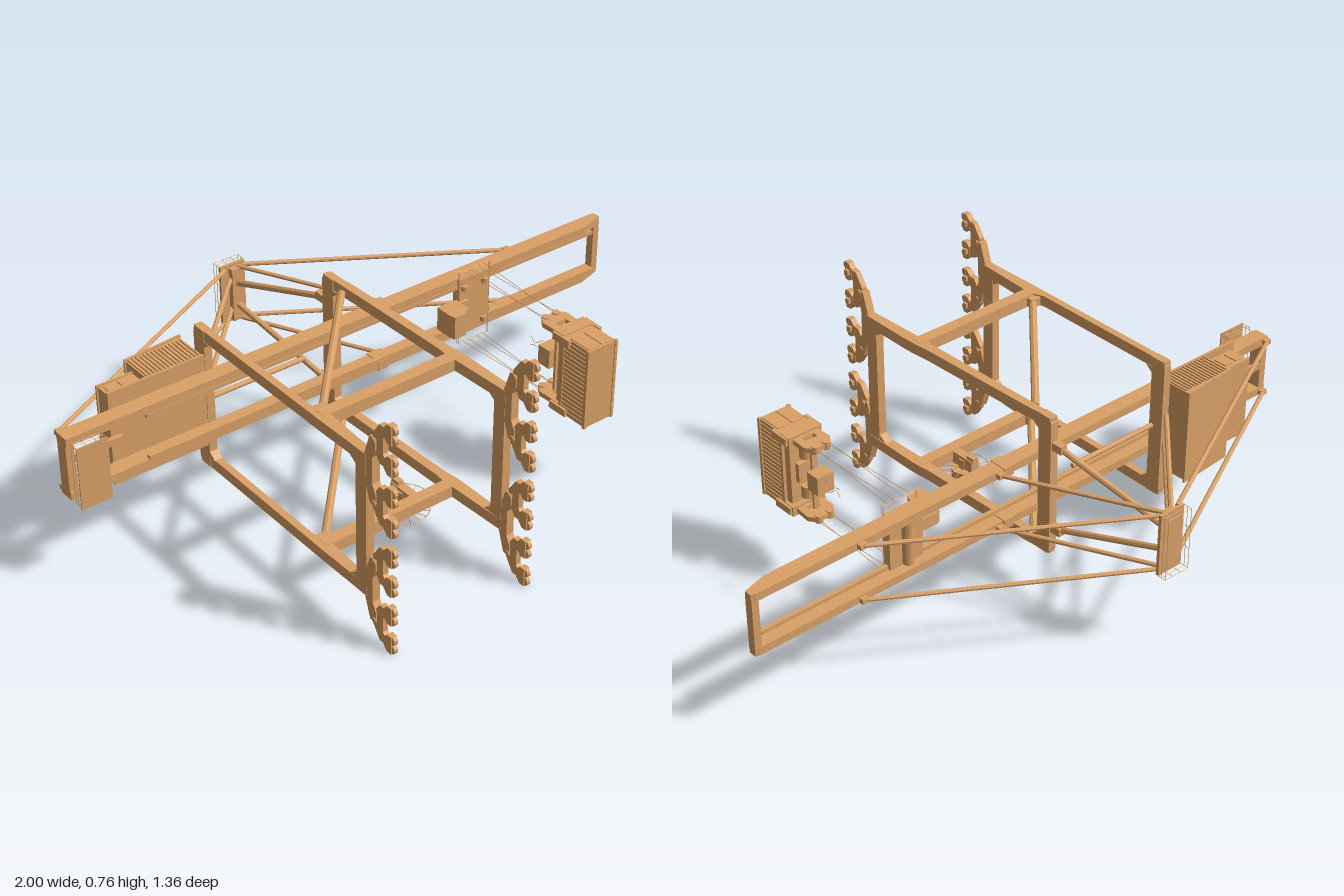
import * as THREE from 'three';

// Gantry crane lying on its back: boom along x, crane height along -z, width along y.
const MID = 0.383;
const paint = new THREE.MeshStandardMaterial({ color: 0xd9a066, side: THREE.DoubleSide, flatShading: true });

export function createModel() {
  const root = new THREE.Group();
  root.name = 'gantryCrane';

  const add = (name, geo, parent = root) => {
    const m = new THREE.Mesh(geo, paint);
    m.name = name;
    parent.add(m);
    return m;
  };
  const group = (name) => {
    const g = new THREE.Group();
    g.name = name;
    root.add(g);
    return g;
  };
  const box = (name, x0, x1, y0, y1, z0, z1, parent) => {
    const m = add(name, new THREE.BoxGeometry(x1 - x0, y1 - y0, z1 - z0), parent);
    m.position.set((x0 + x1) / 2, (y0 + y1) / 2, (z0 + z1) / 2);
    return m;
  };
  // Round or square bar between two points
  const bar = (name, a, b, r, parent, sides = 8) => {
    const p = new THREE.Vector3(...a), q = new THREE.Vector3(...b);
    const m = add(name, new THREE.CylinderGeometry(r, r, p.distanceTo(q), sides), parent);
    m.position.copy(p).add(q).multiplyScalar(0.5);
    m.quaternion.setFromUnitVectors(new THREE.Vector3(0, 1, 0), q.sub(p).normalize());
    return m;
  };
  // Plate with an outline in x,z and a thickness in y
  const plateXZ = (name, pts, y0, y1, parent, hole) => {
    const s = new THREE.Shape(pts.map(([x, z]) => new THREE.Vector2(x, z)));
    if (hole) s.holes.push(new THREE.Path(hole.map(([x, z]) => new THREE.Vector2(x, z))));
    const g = new THREE.ExtrudeGeometry(s, { depth: y1 - y0, bevelEnabled: false });
    g.rotateX(Math.PI / 2).translate(0, y1, 0);
    return add(name, g, parent);
  };
  // Plate with an outline in y,z and a thickness in x
  const plateYZ = (name, pts, x0, x1, parent) => {
    const s = new THREE.Shape(pts.map(([y, z]) => new THREE.Vector2(y, z)));
    const g = new THREE.ExtrudeGeometry(s, { depth: x1 - x0, bevelEnabled: false });
    g.applyMatrix4(new THREE.Matrix4().set(0, 0, 1, x0, 1, 0, 0, 0, 0, 1, 0, 0, 0, 0, 0, 1));
    return add(name, g, parent);
  };
  const both = (fn) => [1, -1].forEach(fn); // mirrored about the middle of the width

  // Portal frames: legs, sill, top beam and corner gussets
  const portals = [
    { name: 'landPortal', legs: [[-0.505, -0.482, -0.24], [-0.505, -0.482, 0.29], [-0.505, -0.462, 0.33],
      [-0.505, -0.465, 0.37], [-0.502, -0.475, 0.565]], cx: -0.489, top: [-0.507, -0.48] },
    { name: 'seaPortal', legs: [[-0.048, -0.027, -0.24], [-0.045, -0.018, -0.14], [-0.034, -0.002, 0.29],
      [-0.038, 0.003, 0.33], [-0.034, 0.005, 0.37], [-0.025, 0.005, 0.565]], cx: -0.011, top: [-0.05, -0.022] },
  ];
  for (const { name, legs, cx, top } of portals) {
    const g = group(name);
    both((s) => {
      const outline = [...legs.map(([a, , z]) => [a, z]), ...legs.map(([, b, z]) => [b, z]).reverse()];
      const yc = MID + s * 0.22;
      plateXZ('leg', outline, yc - 0.018, yc + 0.018, g);
      const y = MID + s * 0.203;
      plateYZ('lowerGusset', [[y, 0.49], [y - s * 0.02, 0.52], [y, 0.52]], cx - 0.013, cx + 0.013, g);
      plateYZ('upperGusset', [[y, -0.165], [y - s * 0.02, -0.19], [y, -0.19]], top[0], top[1], g);
      const o = MID + s * 0.238;
      plateYZ('topCorner', [[o, -0.19], [y, -0.19], [y, -0.242], [o - s * 0.016, -0.242], [o, -0.235]], top[0], top[1], g);
    });
    box('sillBeam', cx - 0.014, cx + 0.014, 0.145, 0.621, 0.52, 0.565, g);
    box('topBeam', top[0], top[1], 0.18, 0.586, -0.242, -0.19, g);

    // Travelling gear: equalisers branching to wheel trucks
    both((s) => {
      const y = MID + s * 0.2;
      const hanger = (c, w, z0, z1, t) => plateYZ('equaliser', [[c - w * 0.3, z0], [c + w * 0.3, z0], [c + w, (z0 + z1) / 2],
        [c + w, z1], [c + w * 0.65, z1], [c + w * 0.4, z1 - 0.014], [c - w * 0.4, z1 - 0.014], [c - w * 0.65, z1],
        [c - w, z1], [c - w, (z0 + z1) / 2]], cx - t, cx + t, g);
      hanger(y, 0.108, 0.555, 0.605, 0.013);
      both((k) => {
        const ys = y + k * 0.1;
        hanger(ys, 0.062, 0.588, 0.646, 0.009);
        bar('equaliserPin', [cx - 0.016, ys, 0.598], [cx + 0.016, ys, 0.598], 0.008, g);
        both((j) => {
          const yt = ys + j * 0.05;
          plateYZ('wheelTruck', [[yt - 0.014, 0.636], [yt + 0.014, 0.636], [yt + 0.03, 0.65], [yt + 0.03, 0.668],
            [yt - 0.03, 0.668], [yt - 0.03, 0.65]], cx - 0.01, cx + 0.01, g);
          both((w) => bar('wheel', [cx - 0.006, yt + w * 0.015, 0.665], [cx + 0.006, yt + w * 0.015, 0.665], 0.015, g, 14));
          box('wheelMotor', cx + 0.01, cx + 0.019, yt - 0.008, yt + 0.008, 0.645, 0.661, g);
        });
      });
    });
  }

  // Side beams and diagonal braces joining the portals
  both((s) => {
    const y = MID + s * 0.22;
    box('sideBeam', -0.485, -0.01, y - 0.019, y + 0.019, 0.32, 0.36);
    bar('diagonalBrace', [-0.055, y, -0.14], [-0.46, y, 0.315], 0.012);
    box('braceFoot', -0.475, -0.44, y - 0.014, y + 0.014, 0.295, 0.325);
  });

  // Boom: twin girders with trolley rails, hinge blocks and end ties
  const boom = group('boom');
  both((s) => {
    const y = MID + s * 0.091;
    plateXZ('girder', [[-1, -0.192], [0.985, -0.192], [1, -0.188], [1, -0.164], [0.92, -0.14], [-1, -0.14]], y - 0.013, y + 0.013, boom);
    const r = MID + s * 0.072;
    box('trolleyRail', -0.74, 0.95, r - 0.006, r + 0.006, -0.152, -0.138, boom);
    box('hingeBlock', 0.08, 0.115, y - 0.016, y + 0.016, -0.198, -0.136, boom);
  });
  box('tipTie', 0.977, 1, 0.29, 0.476, -0.19, -0.162, boom);
  box('tailTie', -1, -0.975, 0.29, 0.476, -0.19, -0.145, boom);
  box('tailMidBeam', -0.98, -0.8, 0.374, 0.396, -0.19, -0.175, boom);
  bar('middleTie', [-0.49, MID, -0.2], [-0.15, MID, -0.2], 0.008, boom);

  // Railing around a rectangle, standing toward -z
  const railing = (g, x0, x1, y0, y1, z, h) => {
    const c = [[x0, y0], [x1, y0], [x1, y1], [x0, y1]];
    c.forEach((p, i) => {
      const q = c[(i + 1) % 4];
      for (const f of [0.5, 1]) bar('rail', [...p, z - h * f], [...q, z - h * f], 0.001, g, 4);
      for (const t of [0, 0.33, 0.67]) {
        const x = p[0] + (q[0] - p[0]) * t, y = p[1] + (q[1] - p[1]) * t;
        bar('railPost', [x, y, z], [x, y, z - h], 0.001, g, 4);
      }
    });
  };

  // Service platform hung under the boom tail
  const tail = group('tailPlatform');
  box('deck', -1, -0.9, 0.28, 0.487, -0.086, -0.082, tail);
  railing(tail, -0.998, -0.902, 0.282, 0.485, -0.086, 0.03);
  for (const x of [-0.995, -0.905]) both((s) => bar('hanger', [x, MID + s * 0.095, -0.085], [x, MID + s * 0.095, -0.14], 0.0012, tail, 4));

  // Mast head, A-frame and stays
  const mast = group('mast');
  box('headPlate', -0.15, -0.06, 0.28, 0.486, -0.652, -0.642, mast);
  box('headBeam', -0.12, -0.09, 0.29, 0.476, -0.645, -0.622, mast);
  railing(mast, -0.15, -0.06, 0.28, 0.486, -0.65, 0.03);
  both((s) => {
    const out = MID + s * 0.093, inn = MID + s * 0.054;
    box('mastFoot', -0.05, -0.026, MID + s * 0.145 - 0.013, MID + s * 0.145 + 0.013, -0.28, -0.235, mast);
    bar('mastPost', [-0.038, MID + s * 0.145, -0.26], [-0.1, MID + s * 0.035, -0.64], 0.01, mast);
    bar('tailStay', [-0.99, out, -0.2], [-0.14, out, -0.635], 0.007, mast);
    bar('landStay', [-0.49, inn, -0.25], [-0.12, inn, -0.635], 0.008, mast);
    bar('innerBoomStay', [0.13, out, -0.2], [-0.09, out, -0.635], 0.007, mast);
    bar('outerBoomStay', [0.635, out, -0.2], [-0.07, out, -0.635], 0.007, mast);
    for (const x of [-0.985, 0.13, 0.635]) box('stayLug', x - 0.012, x + 0.012, out - 0.008, out + 0.008, -0.208, -0.19, mast);
  });

  // Machinery house with ribbed walls
  const house = group('machineryHouse');
  box('floor', -0.83, -0.495, 0.225, 0.541, -0.2, -0.192, house);
  box('lowHouse', -0.815, -0.7, 0.25, 0.515, -0.272, -0.2, house);
  box('lowRoof', -0.82, -0.7, 0.246, 0.519, -0.277, -0.27, house);
  plateXZ('tallHouse', [[-0.7, -0.2], [-0.51, -0.2], [-0.51, -0.318], [-0.7, -0.303]], 0.228, 0.538, house);
  plateXZ('tallRoof', [[-0.705, -0.302], [-0.505, -0.318], [-0.505, -0.325], [-0.705, -0.309]], 0.222, 0.544, house);
  for (let i = 0; i < 15; i++) {
    const x = -0.692 + i * 0.0125;
    both((s) => box('wallRib', x - 0.003, x + 0.003, MID + s * 0.157 - 0.003, MID + s * 0.157 + 0.003, -0.302, -0.2, house));
  }
  both((s) => [-0.79, -0.745].forEach((x) => box('wallPanel', x - 0.014, x + 0.014, MID + s * 0.133 - 0.003, MID + s * 0.133 + 0.003, -0.26, -0.212, house)));

  // Trolley and operator cab
  const trolley = group('trolley');
  box('trolleyDeck', 0.39, 0.51, 0.285, 0.485, -0.16, -0.132, trolley);
  for (const x of [0.41, 0.49]) both((s) => {
    const y = MID + s * 0.07;
    bar('ropeSheave', [x, y - 0.008, -0.13], [x, y + 0.008, -0.13], 0.012, trolley, 12);
  });
  bar('hoistDrum', [0.45, 0.31, -0.168], [0.45, 0.456, -0.168], 0.018, trolley, 12);
  railing(trolley, 0.39, 0.51, 0.255, 0.511, -0.125, 0.012);
  box('cabArm', 0.32, 0.42, 0.37, 0.41, -0.145, -0.12, trolley);
  plateXZ('cab', [[0.295, -0.12], [0.36, -0.12], [0.36, -0.06], [0.345, -0.04], [0.3, -0.04], [0.295, -0.06]], 0.352, 0.43, trolley);
  box('cabStep', 0.36, 0.395, 0.36, 0.405, -0.12, -0.085, trolley);

  // Hoist ropes
  const ropes = group('hoistRopes');
  for (const [a, b] of [[0.41, 0.43], [0.435, 0.422], [0.465, 0.478], [0.49, 0.47]])
    both((s) => bar('rope', [a, MID + s * 0.127, -0.13], [b, MID + s * 0.127, 0.215], 0.0011, ropes, 4));
  both((s) => {
    const c = new THREE.CatmullRomCurve3([[0.45, 0.39, 0.21], [0.455, MID + s * 0.02, 0.19], [0.445, MID + s * 0.005, 0.165], [0.45, MID + s * 0.015, 0.14]]
      .map((p) => new THREE.Vector3(...p)));
    add('looseCable', new THREE.TubeGeometry(c, 16, 0.001, 4), ropes);
  });

  // Spreader with end frames
  const spreader = group('spreader');
  both((s) => {
    const y = MID + s * 0.122;
    plateXZ('endFrame', [[0.42, 0.215], [0.48, 0.215], [0.498, 0.24], [0.495, 0.3], [0.405, 0.3], [0.402, 0.24]], y - 0.008, y + 0.008,
      spreader, [[0.43, 0.265], [0.47, 0.265], [0.47, 0.285], [0.43, 0.285]]);
    for (const x of [0.43, 0.47]) bar('sheave', [x, y - 0.012, 0.222], [x, y + 0.012, 0.222], 0.013, spreader, 12);
    bar('spreaderDrum', [0.45, MID + s * 0.07 - 0.02, 0.298], [0.45, MID + s * 0.07 + 0.02, 0.298], 0.02, spreader, 12);
    box('endBlock', 0.395, 0.51, y - 0.016, y + 0.016, 0.295, 0.34, spreader);
    for (const x of [0.393, 0.512]) box('cornerGuide', x - 0.006, x + 0.006, y - 0.01, y + 0.014, 0.3, 0.37, spreader);
  });
  box('crossBar', 0.44, 0.46, 0.26, 0.506, 0.256, 0.264, spreader);
  box('cableBasket', 0.42, 0.48, 0.35, 0.413, 0.207, 0.256, spreader);
  box('centreBlock', 0.42, 0.48, 0.35, 0.416, 0.296, 0.33, spreader);
  box('mainFrame', 0.405, 0.498, 0.255, 0.511, 0.312, 0.338, spreader);

  // Ribbed cargo box
  const cargo = group('cargoBox');
  box('body', 0.398, 0.504, 0.25, 0.517, 0.336, 0.447, cargo);
  for (const x of [0.398, 0.504]) {
    for (let i = 0; i < 17; i++) box('sideRib', x - 0.003, x + 0.003, 0.258 + i * 0.015, 0.266 + i * 0.015, 0.345, 0.438, cargo);
    for (const z of [0.34, 0.445]) box('edgeRail', x - 0.005, x + 0.005, 0.248, 0.519, z - 0.005, z + 0.005, cargo);
  }
  both((s) => [0.425, 0.477].forEach((x) => box('endDoor', x - 0.022, x + 0.022, MID + s * 0.134 - 0.003, MID + s * 0.134 + 0.003, 0.36, 0.44, cargo)));

  // Cable reel beside the lower side beam
  const reel = group('cableReel');
  const [rx, rz] = [-0.145, 0.277];
  bar('drum', [rx, 0.105, rz], [rx, 0.137, rz], 0.044, reel, 20);
  for (const y of [0.103, 0.138]) {
    const ring = add('reelRim', new THREE.TorusGeometry(0.075, 0.0015, 4, 32), reel);
    ring.rotation.x = Math.PI / 2;
    ring.position.set(rx, y, rz);
    for (let i = 0; i < 16; i++) {
      const a = (i * Math.PI) / 8;
      bar('spoke', [rx, y, rz], [rx + 0.075 * Math.cos(a), y, rz + 0.075 * Math.sin(a)], 0.0012, reel, 4);
    }
  }
  bar('reelAxle', [rx, 0.1, rz], [rx, 0.17, rz], 0.02, reel, 12);
  box('reelGearbox', rx - 0.014, rx + 0.014, 0.14, 0.18, 0.23, 0.33, reel);
  box('reelMotor', rx - 0.01, rx + 0.01, 0.175, 0.192, 0.228, 0.26, reel);

  return root;
}
